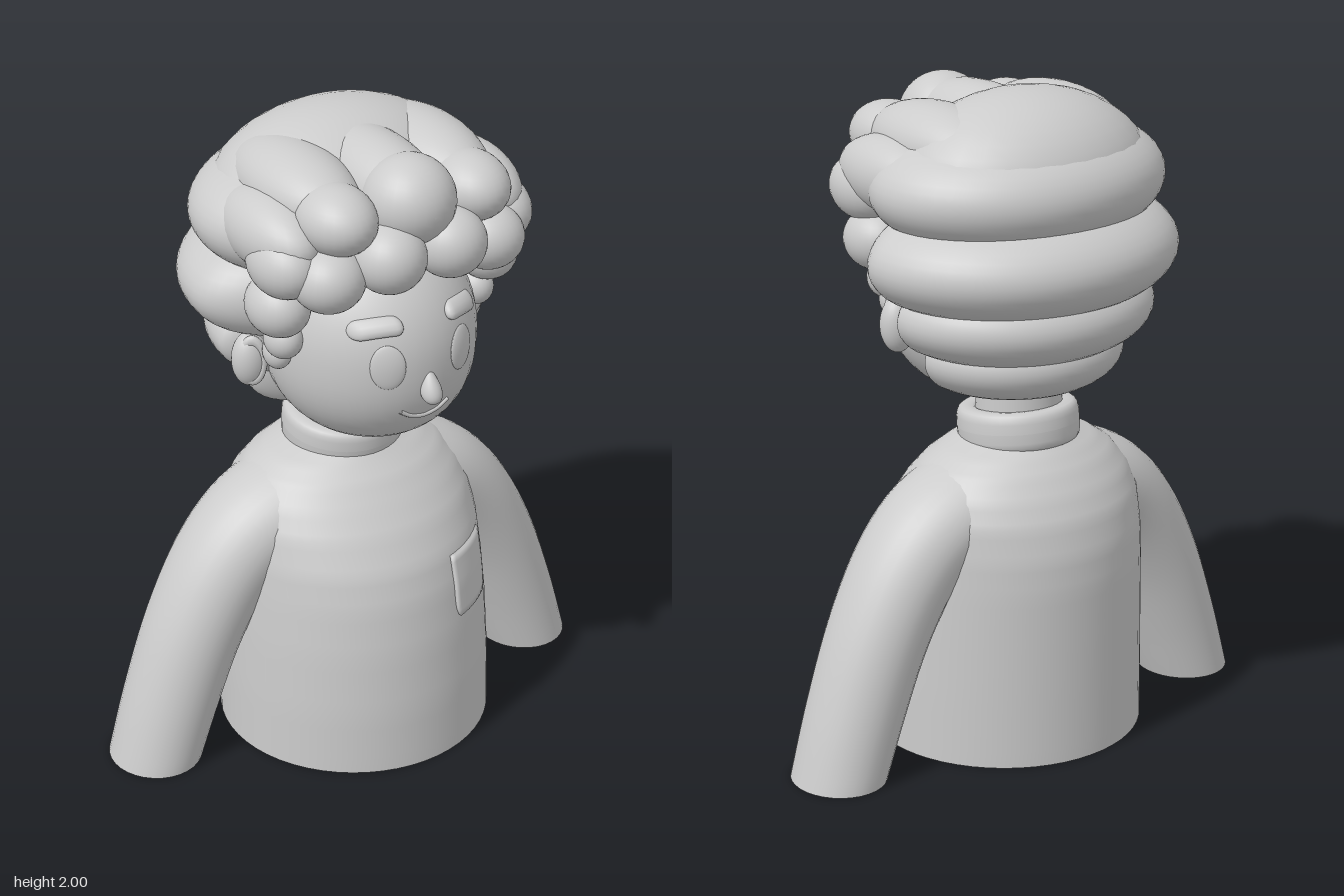
import * as THREE from 'three';
import { mergeVertices } from 'three/addons/utils/BufferGeometryUtils.js';

const MAT = new THREE.MeshStandardMaterial({ color: 0xcccccc, side: THREE.DoubleSide });

// Move every vertex by a rule, then weld and smooth
function warp(geo, rule) {
  geo.deleteAttribute('uv');
  geo.deleteAttribute('normal');
  const p = geo.attributes.position, v = new THREE.Vector3();
  for (let i = 0; i < p.count; i++) {
    rule(v.fromBufferAttribute(p, i));
    p.setXYZ(i, v.x, v.y, v.z);
  }
  const out = mergeVertices(geo, 1e-5);
  out.computeVertexNormals();
  return out;
}

// Torso sections: height, half width, front depth, back depth
const TORSO = [
  [0, 0.42, 0.44, 0.40], [0.2, 0.418, 0.435, 0.40], [0.4, 0.412, 0.417, 0.40],
  [0.55, 0.405, 0.392, 0.40], [0.65, 0.40, 0.362, 0.392], [0.75, 0.388, 0.305, 0.367],
  [0.82, 0.36, 0.25, 0.33], [0.88, 0.31, 0.198, 0.285], [0.92, 0.25, 0.152, 0.245],
  [0.95, 0.17, 0.12, 0.21],
];
function torsoRow(f) {
  const i = Math.min(Math.floor(f), TORSO.length - 2);
  return TORSO[i].map((a, k) => a + (TORSO[i + 1][k] - a) * (f - i));
}
function torsoFront(x, y) {
  let i = 0;
  while (TORSO[i + 1][0] < y) i++;
  const [, rx, zf, zb] = torsoRow(i + (y - TORSO[i][0]) / (TORSO[i + 1][0] - TORSO[i][0]));
  return (zf - zb) / 2 + (zf + zb) / 2 * Math.sqrt(Math.max(0, 1 - (x / rx) ** 2));
}

// Head: an ellipsoid with a fuller jaw, also used to seat the facial features
const HEAD = { y: 1.37, z: 0.1, rx: 0.31, ry: 0.335, rz: 0.335 };
const headWidth2 = (t) => Math.max(0, 1 - Math.abs(t) ** (t < 0 ? 2.5 : 2));
const faceZ = (x, y) => HEAD.z + HEAD.rz *
  Math.sqrt(Math.max(0, headWidth2((y - HEAD.y) / HEAD.ry) - (x / HEAD.rx) ** 2));

export function createModel() {
  const model = new THREE.Group();
  const add = (name, geo, parent = model) => {
    const m = new THREE.Mesh(geo, MAT);
    m.name = name;
    parent.add(m);
    return m;
  };
  const group = (name) => {
    const g = new THREE.Group();
    g.name = name;
    model.add(g);
    return g;
  };
  const ball = (name, x, y, z, rx, ry, rz, parent = model) => {
    const m = add(name, new THREE.SphereGeometry(1, 28, 20), parent);
    m.position.set(x, y, z);
    m.scale.set(rx, ry, rz);
  };

  // Torso, open at the bottom
  add('torso', warp(new THREE.CylinderGeometry(1, 1, 1, 56, 36, true), (v) => {
    const [y, rx, zf, zb] = torsoRow((v.y + 0.5) * (TORSO.length - 1));
    v.set(v.x * rx, y, (zf - zb) / 2 + v.z * (zf + zb) / 2);
  }));

  // Sleeves: centre x, centre y and tilt of each ring, from hem to shoulder
  const sleeve = new THREE.CatmullRomCurve3([
    [0.675, 0, 0], [0.61, 0.2, 0.2], [0.53, 0.41, 0.35],
    [0.435, 0.585, 0.52], [0.315, 0.71, 0.82], [0.14, 0.785, 1.2],
  ].map((a) => new THREE.Vector3(...a)));
  for (const s of [1, -1]) {
    add(s > 0 ? 'leftSleeve' : 'rightSleeve',
      warp(new THREE.CylinderGeometry(1, 1, 1, 32, 24, true), (v) => {
        const t = v.y + 0.5, c = sleeve.getPoint(t), r = 0.14 + 0.018 * t;
        v.set(s * c.x + Math.cos(c.z) * r * v.x, c.y + s * Math.sin(c.z) * r * v.x,
          -0.043 + (0.153 + 0.045 * t * t) * v.z);
      }));
  }

  // Chest pocket bent over the torso
  add('pocket', warp(new THREE.BoxGeometry(0.165, 0.19, 0.024, 10, 10, 1), (v) => {
    const low = Math.max(0, -v.y / 0.095);
    v.x *= 1 - 0.12 * low ** 6;
    v.y += 0.545;
    v.x += 0.225;
    v.z += torsoFront(v.x, v.y);
  }));

  // Rolled collar and neck
  const ring = [];
  for (let i = 0; i <= 20; i++) {
    const a = i / 20 * Math.PI * 2, c = Math.cos(a), s = Math.sin(a);
    ring.push(new THREE.Vector2(0.15 + 0.035 * Math.sign(c) * Math.abs(c) ** 0.6,
      0.06 * Math.sign(s) * Math.abs(s) ** 0.6));
  }
  const collar = add('collar', new THREE.LatheGeometry(ring, 40));
  collar.position.set(0, 0.975, -0.047);
  collar.rotation.x = 0.11;
  add('neck', new THREE.CylinderGeometry(0.125, 0.135, 0.28, 32)).position.set(0, 1.05, -0.05);

  // Head and face
  add('head', warp(new THREE.SphereGeometry(1, 40, 32), (v) => {
    const k = Math.sqrt(headWidth2(v.y) / Math.max(1e-6, 1 - v.y * v.y));
    v.set(v.x * k * HEAD.rx, HEAD.y + v.y * HEAD.ry, HEAD.z + v.z * k * HEAD.rz);
  }));
  const face = group('face');
  // Nose, narrow at the bridge and pushed out at the tip
  add('nose', warp(new THREE.SphereGeometry(1, 24, 20), (v) => {
    const y = v.y;
    v.set(v.x * (0.029 - 0.012 * y), 1.308 + 0.05 * y, 0.436 - 0.014 * y + v.z * (0.034 - 0.01 * y));
  }), face);
  const mouth = [-0.08, -0.045, 0, 0.045, 0.08].map((x) => {
    const y = 1.2 + 5 * x * x;
    return new THREE.Vector3(x, y, faceZ(x, y));
  });
  add('mouth', new THREE.TubeGeometry(new THREE.CatmullRomCurve3(mouth), 24, 0.007, 8), face);
  for (const s of [1, -1]) {
    add('eye', warp(new THREE.SphereGeometry(1, 24, 16), (v) => {
      const x = s * 0.122 + v.x * 0.047, y = 1.385 + v.y * 0.068;
      v.set(x, y, faceZ(x, y) + v.z * 0.01);
    }), face);
    add('eyebrow', warp(new THREE.CapsuleGeometry(0.026, 0.085, 6, 12, 8), (v) => {
      const x = s * 0.14 + v.y, y = 1.502 - v.x - 1.5 * v.y * v.y - s * v.y * 0.15;
      v.set(x, y, faceZ(x, y) + v.z);
    }), face);
    ball('ear', s * 0.37, 1.325, 0.05, 0.055, 0.085, 0.05);
    const rim = add('earRim', new THREE.TorusGeometry(0.045, 0.013, 10, 24));
    rim.position.set(s * 0.375, 1.33, 0.075);
    rim.rotation.y = s * 0.6;
    rim.scale.set(0.75, 1.4, 1);
  }

  // Back hair: stacked, overlapping rounded rolls, shallower in front than behind
  const backHair = group('backHair');
  const roll = (y, ry, rx, zf, zb) => {
    const pts = [];
    for (let i = 0; i <= 24; i++) {
      const a = (i / 24 - 0.5) * Math.PI, c = Math.cos(a);
      pts.push(new THREE.Vector2(i % 24 ? 0.4 * c + 0.6 * Math.sqrt(c) : 0, Math.sin(a)));
    }
    add('hairRoll', warp(new THREE.LatheGeometry(pts, 56),
      (v) => v.set(v.x * rx, y + v.y * ry, -0.03 + v.z * (v.z > 0 ? zf : zb))), backHair);
  };
  roll(1.725, 0.175, 0.473, 0.33, 0.39);
  roll(1.52, 0.175, 0.505, 0.24, 0.452);
  roll(1.35, 0.15, 0.425, 0.1, 0.395);
  roll(1.215, 0.13, 0.33, 0.06, 0.315);
  ball('crown', 0, 1.74, -0.07, 0.405, 0.255, 0.31, backHair);

  // Long curls running front to back over the top, then rounder ones around the brow
  const curls = group('curls');
  ball('topCurl', 0, 1.84, 0.13, 0.14, 0.137, 0.32, curls);
  ball('topFrontCurl', 0, 1.845, 0.31, 0.135, 0.13, 0.14, curls);
  const sideCurls = [
    // x, y, z, rx, ry, rz
    [0.215, 1.84, 0.05, 0.145, 0.12, 0.28],
    [0.22, 1.825, 0.28, 0.112, 0.1, 0.14],
    [0.335, 1.755, 0.11, 0.115, 0.115, 0.22],
    [0.1, 1.713, 0.37, 0.107, 0.103, 0.11],
    [0.265, 1.667, 0.315, 0.107, 0.097, 0.11],
    [0.355, 1.7, 0.22, 0.095, 0.1, 0.13],
    [0.35, 1.55, 0.18, 0.09, 0.092, 0.11],
    [0.325, 1.43, 0.165, 0.055, 0.06, 0.065],
    [0.325, 1.37, 0.13, 0.04, 0.05, 0.05],
  ];
  for (const [x, y, z, rx, ry, rz] of sideCurls) {
    for (const s of [1, -1]) ball('curl', s * x, y, z, rx, ry, rz, curls);
  }
  return model;
}
